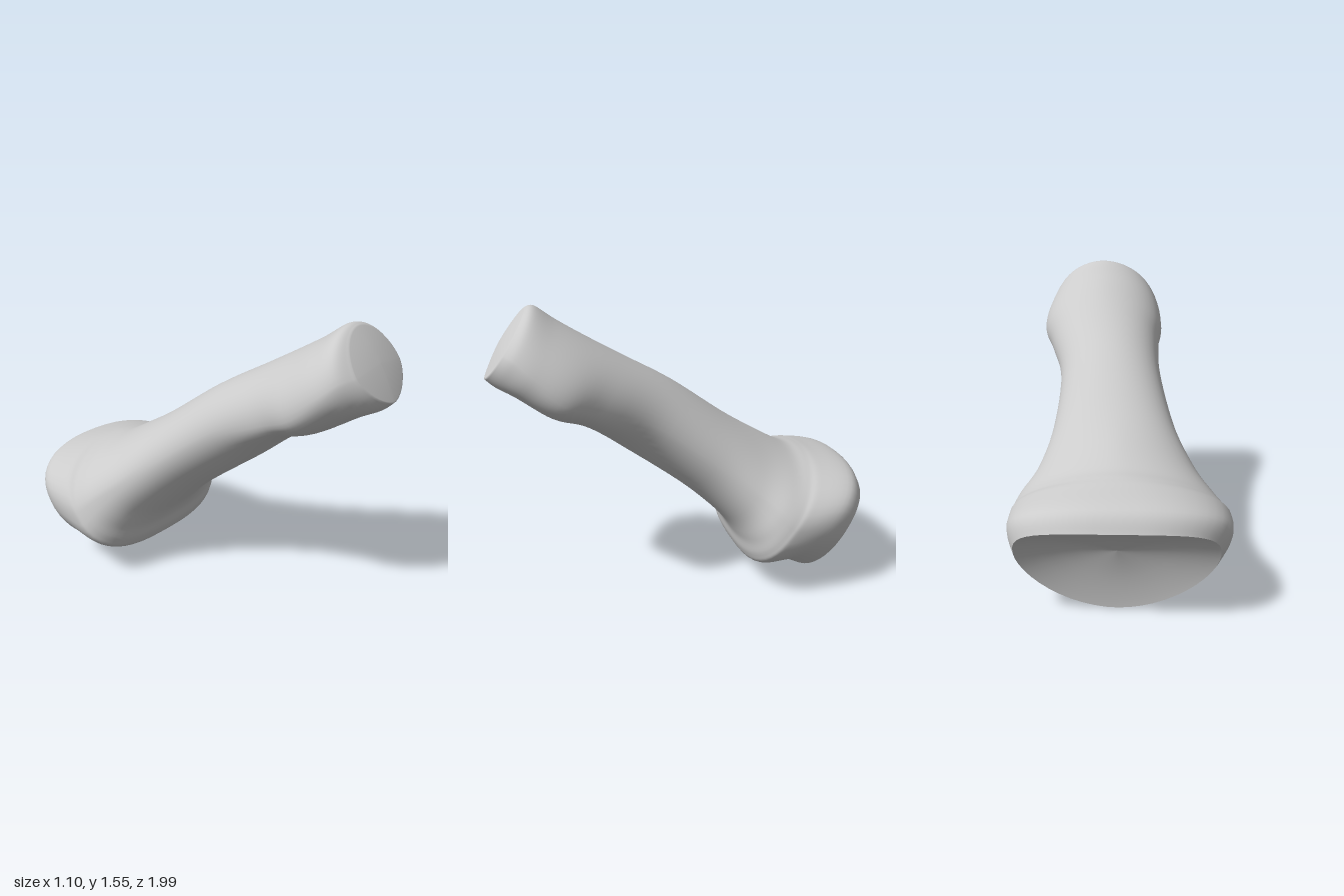
import * as THREE from 'three';

const SEG = 48, STEPS = 6;

// Cross-sections from the flared base to the rounded head:
// topZ, topY, bottomZ, bottomY, xRight, xLeft, level of widest point, upper power, lower power
const SECTIONS = [
  [-0.99, 0.55, -0.67, 0.00, -0.48, 0.49, 0.58, 2.4, 1.9],
  [-0.93, 0.64, -0.52, 0.08, -0.54, 0.53, 0.54, 2.3, 2.2],
  [-0.76, 0.685, -0.35, 0.12, -0.555, 0.545, 0.48, 2.1, 2.7],
  [-0.69, 0.70, -0.30, 0.18, -0.54, 0.54, 0.46, 1.9, 2.8],
  [-0.60, 0.72, -0.275, 0.27, -0.485, 0.51, 0.46, 1.8, 2.6],
  [-0.45, 0.80, -0.20, 0.37, -0.39, 0.43, 0.47, 1.8, 2.2],
  [-0.25, 0.92, 0.00, 0.55, -0.285, 0.365, 0.50, 2.0, 1.9],
  [0.05, 1.13, 0.30, 0.775, -0.21, 0.35, 0.50, 2.0, 1.9],
  [0.32, 1.285, 0.53, 0.955, -0.20, 0.425, 0.38, 2.0, 2.6],
  [0.50, 1.39, 0.70, 1.02, -0.22, 0.485, 0.36, 1.9, 2.5],
  [0.64, 1.475, 0.86, 1.115, -0.20, 0.46, 0.40, 1.9, 2.0],
  [0.74, 1.545, 0.95, 1.16, -0.15, 0.415, 0.45, 1.9, 1.7],
  [0.785, 1.54, 1.00, 1.205, -0.07, 0.36, 0.45, 1.9, 1.6],
];

// Smooth interpolation of all section values along the bone
function sectionAt(u) {
  const n = SECTIONS.length - 1;
  const i = Math.min(Math.floor(u), n - 1), f = u - i;
  const get = k => SECTIONS[Math.max(0, Math.min(n, k))];
  const [a, b, c, d] = [get(i - 1), get(i), get(i + 1), get(i + 2)];
  return b.map((v, k) => v + 0.5 * f * (c[k] - a[k]
    + f * (2 * a[k] - 5 * v + 4 * c[k] - d[k] + f * (3 * (v - c[k]) + d[k] - a[k]))));
}

// One closed loop of points around a section; near the base its sides bow forward
function ring(u) {
  const [tz, ty, bz, by, xr, xl, wide, pTop, pLow] = sectionAt(u);
  const bow = 0.07 * Math.max(0, 1 - u / 3);
  const pts = [];
  for (let j = 0; j < SEG; j++) {
    const t = j / SEG * Math.PI * 2, c = Math.cos(t), s = Math.sin(t);
    const p = 2 / (s > 0 ? pTop : pLow);
    const x = (xl + xr) / 2 + Math.sign(c) * Math.abs(c) ** p * (xl - xr) / 2;
    const rise = Math.sign(s) * Math.abs(s) ** p;
    const v = wide + rise * (s > 0 ? 1 - wide : wide);
    const shift = bow * c * c;
    pts.push(new THREE.Vector3(x, by + (ty - by) * v + shift * 0.55, bz + (tz - bz) * v + shift * 0.83));
  }
  return pts;
}

// Shrinks an end loop towards its centre, pushing it along the bone axis by depth
function capRing(rim, scale, depth) {
  const centre = rim.reduce((sum, p) => sum.add(p), new THREE.Vector3()).divideScalar(SEG);
  const push = new THREE.Vector3(0, 0.55, 0.83).multiplyScalar(depth * (1 - scale * scale));
  return rim.map(p => centre.clone().lerp(p, scale).add(push));
}

function loft(rings) {
  const pos = [], index = [];
  rings.forEach((r, i) => r.forEach((p, j) => {
    pos.push(p.x, p.y, p.z);
    if (i === rings.length - 1) return;
    const k = (j + 1) % SEG, a = i * SEG;
    index.push(a + j, a + k, a + SEG + j, a + k, a + SEG + k, a + SEG + j);
  }));
  const geo = new THREE.BufferGeometry();
  geo.setAttribute('position', new THREE.Float32BufferAttribute(pos, 3));
  geo.setIndex(index);
  geo.computeVertexNormals();
  return geo;
}

export function createModel() {
  const group = new THREE.Group();
  group.name = 'bone';
  const material = new THREE.MeshStandardMaterial({ color: 0xcccccc });
  const add = (name, rings) => {
    const mesh = new THREE.Mesh(loft(rings), material);
    mesh.name = name;
    group.add(mesh);
  };

  const last = SECTIONS.length - 1;
  const body = [];
  for (let i = 0; i <= last * STEPS; i++) body.push(ring(i / STEPS));
  const scales = [0.97, 0.9, 0.75, 0.55, 0.35, 0.15, 0];

  // Shaft closed by the softly domed head
  const headRim = body[body.length - 1];
  add('shaftAndHead', [...body, ...scales.map(s => capRing(headRim, s, 0.02))]);

  // Hollow joint socket in the flared base, with a crisp rim
  const socket = [1, ...scales].map(s => capRing(body[0], s, 0.07)).reverse();
  add('baseSocket', socket);

  return group;
}
